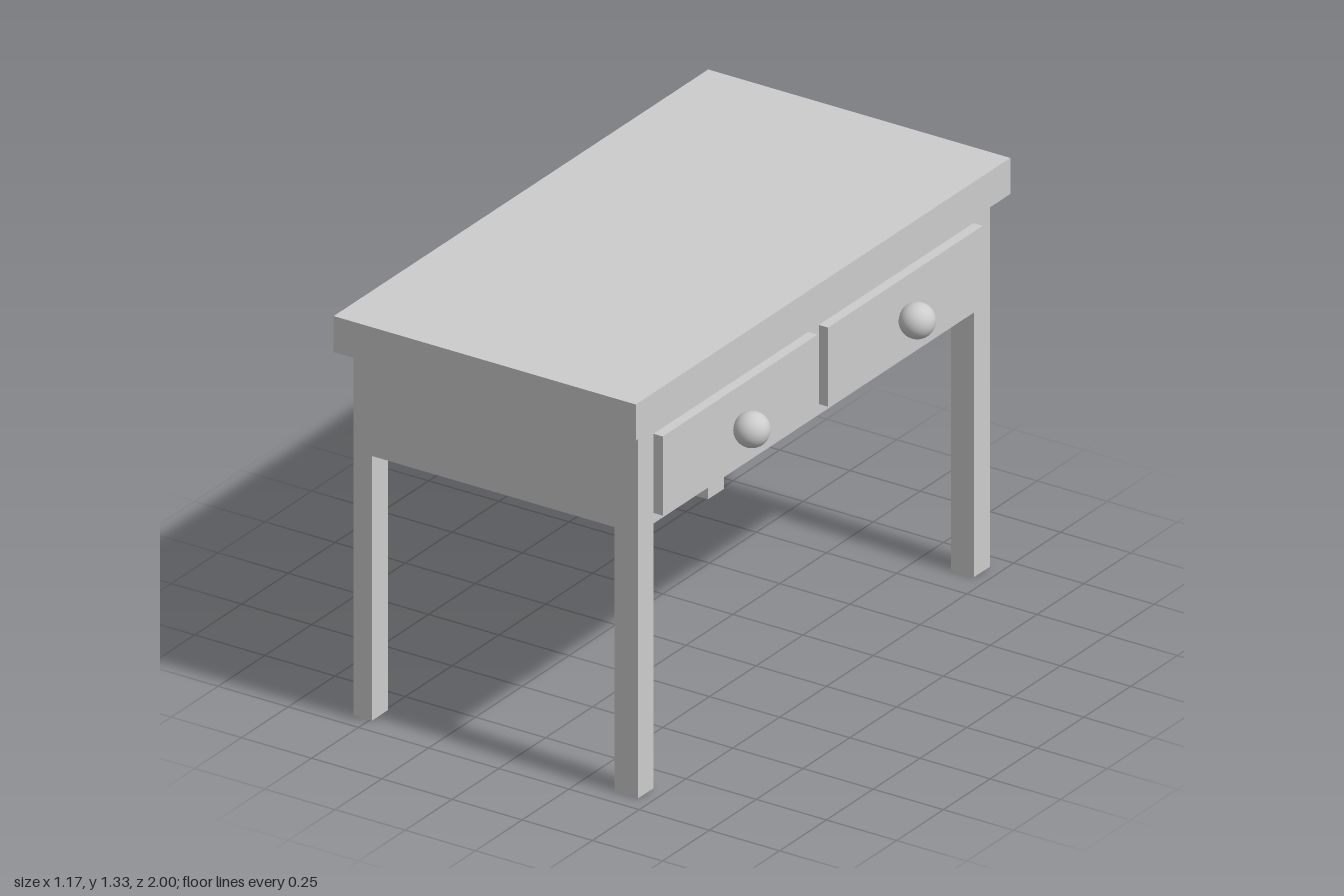
import * as THREE from 'three';

export function createModel() {
  const group = new THREE.Group();
  const paint = new THREE.MeshStandardMaterial({ color: 0xcccccc });
  paint.name = 'light grey';

  const add = (name, geometry) => {
    const mesh = new THREE.Mesh(geometry, paint);
    mesh.name = name;
    group.add(mesh);
    return mesh;
  };

  // Box given by its lower and upper limits on each axis
  const boxBetween = (x0, x1, y0, y1, z0, z1) =>
    new THREE.BoxGeometry(x1 - x0, y1 - y0, z1 - z0)
      .translate((x0 + x1) / 2, (y0 + y1) / 2, (z0 + z1) / 2);

  const back = -0.557, face = 0.455, side = 0.94;
  const topBack = -0.588, topFace = 0.488;
  const apronBottom = 0.873, apronTop = 1.2, slabBottom = 1.214;

  // Table top and the shallow sloped moulding beneath it
  add('tableTop', boxBetween(topBack, topFace, slabBottom, 1.333, -1, 1));
  const moulding = boxBetween(topBack, topFace, apronTop, slabBottom, -1, 1);
  const p = moulding.attributes.position;
  for (let i = 0; i < p.count; i++) {
    if (p.getY(i) < (apronTop + slabBottom) / 2) {
      p.setX(i, p.getX(i) < 0 ? back : face);
      p.setZ(i, Math.sign(p.getZ(i)) * side);
    }
  }
  moulding.computeVertexNormals();
  add('moulding', moulding);

  // Closed drawer case
  add('drawerCase', boxBetween(back, face, apronBottom, apronTop, -side, side));

  for (const s of [1, -1]) {
    const end = s > 0 ? 'Left' : 'Right';
    const z0 = s > 0 ? 0.855 : -side;
    const z1 = s > 0 ? side : -0.855;

    // Square legs, flush with the case
    add('rearLeg' + end, boxBetween(back, -0.492, 0, apronBottom, z0, z1));
    add('drawerLeg' + end, boxBetween(0.373, face, 0, apronBottom, z0, z1));

    // Raised drawer front with a round knob
    const d0 = s > 0 ? 0.03 : -0.853;
    const d1 = s > 0 ? 0.856 : -0.027;
    add('drawerFront' + end, boxBetween(face, topFace, 0.908, 1.169, d0, d1));
    add('knob' + end, new THREE.SphereGeometry(0.056, 32, 20))
      .position.set(0.53, 1.036, (d0 + d1) / 2);
  }
  return group;
}
